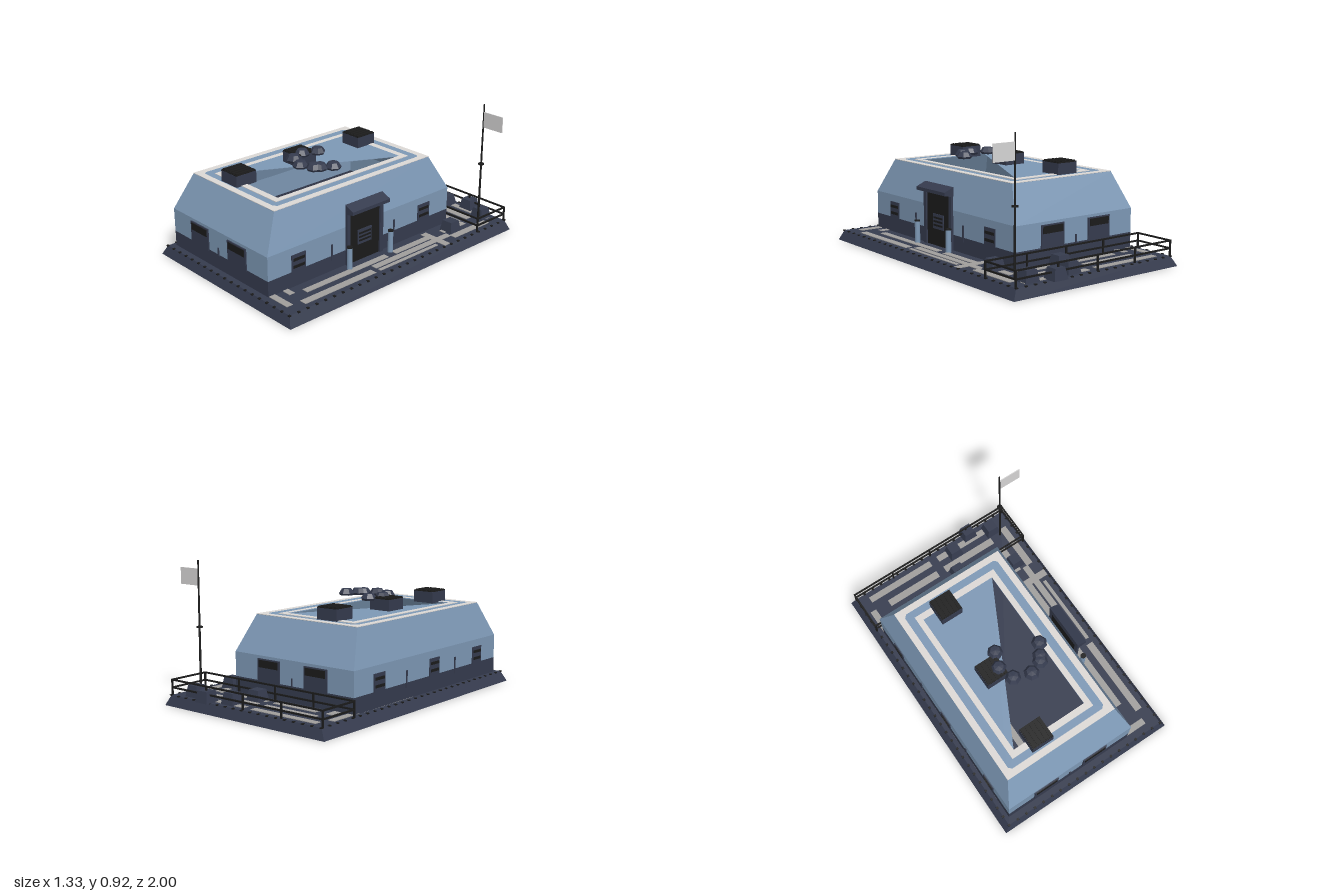
import * as THREE from 'three';

const mat = (name, color, side = THREE.FrontSide) => {
  const m = new THREE.MeshStandardMaterial({ color, side });
  m.name = name;
  return m;
};

export function createModel() {
  const model = new THREE.Group();
  const navy = mat('navy', 0x353b4e);
  const navyShell = mat('navy shell', 0x353b4e, THREE.DoubleSide);
  const blue = mat('steel blue', 0x7d98b5, THREE.DoubleSide);
  const black = mat('black', 0x1b1b1b);
  const cream = mat('pale trim', 0xdcd8d5);
  const grey = mat('floor grey', 0xa09e9c);
  const flagGrey = mat('flag grey', 0xd6d5d5);

  const add = (name, geo, material, parent = model) => {
    const m = new THREE.Mesh(geo, material);
    m.name = name;
    parent.add(m);
    return m;
  };
  // Box given by its limits
  const box = (name, x0, x1, y0, y1, z0, z1, material, parent) =>
    add(name, new THREE.BoxGeometry(x1 - x0, y1 - y0, z1 - z0)
      .translate((x0 + x1) / 2, (y0 + y1) / 2, (z0 + z1) / 2), material, parent);
  // Flat-sided loft through rectangles [x0, x1, z0, z1, y], open below, optionally closed on top
  const loft = (rects, closed) => {
    const p = [];
    const ring = ([x0, x1, z0, z1, y]) => [[x0, y, z1], [x1, y, z1], [x1, y, z0], [x0, y, z0]];
    const quad = (a, b, c, d) => p.push(...a, ...b, ...c, ...a, ...c, ...d);
    for (let i = 0; i < rects.length - 1; i++) {
      const lo = ring(rects[i]), hi = ring(rects[i + 1]);
      for (let k = 0; k < 4; k++) quad(lo[k], lo[(k + 1) % 4], hi[(k + 1) % 4], hi[k]);
    }
    if (closed) quad(...ring(rects[rects.length - 1]));
    const g = new THREE.BufferGeometry();
    g.setAttribute('position', new THREE.Float32BufferAttribute(p, 3));
    g.computeVertexNormals();
    return g;
  };
  // Horizontal plate from an x-z outline with a hole
  const plate = (outline, hole, y, depth) => {
    const pts = (a) => a.map(([x, z]) => new THREE.Vector2(x, -z));
    const s = new THREE.Shape(pts(outline));
    s.holes.push(new THREE.Path(pts(hole)));
    return new THREE.ExtrudeGeometry(s, { depth, bevelEnabled: false }).rotateX(-Math.PI / 2).translate(0, y, 0);
  };
  const rect = (x0, x1, z0, z1, c = 0) => c
    ? [[x0 + c, z0], [x1 - c, z0], [x1, z0 + c], [x1, z1 - c], [x1 - c, z1], [x0 + c, z1], [x0, z1 - c], [x0, z0 + c]]
    : [[x0, z0], [x1, z0], [x1, z1], [x0, z1]];

  // Hollow base with sloping edges and small studs along the rim
  const G = 0.067;
  add('base', loft([[-0.67, 0.65, -0.99, 1, 0], [-0.63, 0.615, -0.965, 0.975, G]], true), navyShell);
  const studs = new THREE.Group();
  studs.name = 'edgeStuds';
  model.add(studs);
  const stud = (x, z) => box('stud', x - 0.008, x + 0.008, G - 0.004, G + 0.003, z - 0.008, z + 0.008, black, studs);
  for (let i = 0; i <= 18; i++) [-0.966, 0.976].forEach((z) => stud(-0.63 + i * 1.245 / 18, z));
  for (let i = 1; i < 28; i++) [-0.631, 0.616].forEach((x) => stud(x, -0.967 + i * 1.944 / 28));

  // Floor markings: x0, x1, z0, z1
  [
    [-0.55, -0.04, -0.925, -0.88], [0.02, 0.52, -0.925, -0.88],
    [-0.45, -0.04, -0.83, -0.78], [0.02, 0.43, -0.83, -0.78],
    [-0.38, -0.04, -0.73, -0.685], [0.02, 0.42, -0.73, -0.685],
    [-0.6, -0.555, -0.82, -0.04], [-0.6, -0.555, 0.03, 0.82],
    [-0.5, -0.455, -0.72, -0.04], [-0.5, -0.455, 0.03, 0.72],
    [0.525, 0.575, -0.85, -0.5], [0.43, 0.475, -0.72, -0.5], [0.39, 0.61, -0.41, -0.36],
    [0.43, 0.475, -0.36, -0.04], [0.49, 0.535, -0.5, 0.2], [0.55, 0.575, -0.33, 0.2],
    [0.43, 0.475, 0.03, 0.72], [0.525, 0.575, 0.24, 0.82],
    [0.36, 0.53, 0.88, 0.925], [0.36, 0.43, 0.78, 0.82],
    [-0.235, -0.04, 0.595, 0.64], [0.02, 0.2, 0.595, 0.64], [-0.28, -0.235, 0.03, 0.64],
  ].forEach(([a, b, c, d]) => box('floorMarking', a, b, G, G + 0.004, c, d, grey));

  // Building shell
  const W = [-0.6, 0.365, -0.64, 0.93];
  add('lowerWall', loft([[...W, G], [...W, 0.17]]), navyShell);
  add('upperWall', loft([[...W, 0.17], [...W, 0.33], [-0.53, 0.29, -0.52, 0.81, 0.562]]), blue);

  // Roof with a triangular opening and pale rings
  const opening = [[0.15, -0.38], [0.15, 0.67], [-0.39, 0.67]];
  add('roof', plate(rect(-0.53, 0.29, -0.52, 0.81), opening, 0.56, 0.003), blue);
  add('outerRoofTrim', plate(rect(-0.53, 0.29, -0.52, 0.81), rect(-0.485, 0.245, -0.475, 0.765, 0.02), 0.563, 0.004), cream);
  add('innerRoofTrim', plate(rect(-0.43, 0.19, -0.425, 0.715), rect(-0.39, 0.15, -0.38, 0.67), 0.563, 0.004), cream);

  // Roof vents with slatted tops
  [-0.36, 0.175, 0.675].forEach((z) => {
    const vent = new THREE.Group();
    vent.name = 'roofVent';
    model.add(vent);
    box('ventBody', -0.303, -0.147, 0.56, 0.637, z - 0.078, z + 0.078, navy, vent);
    box('ventTop', -0.302, -0.148, 0.637, 0.643, z - 0.077, z + 0.077, black, vent);
    for (let i = 0; i < 5; i++) {
      const x = -0.287 + i * 0.031;
      box('ventSlat', x - 0.009, x + 0.009, 0.643, 0.648, z - 0.072, z + 0.072, black, vent);
    }
  });

  // Arc of loose faceted boulders with flat undersides
  const rockProfile = [[0, -0.022], [0.045, -0.022], [0.053, -0.008], [0.034, 0.022], [0, 0.026]]
    .map(([x, y]) => new THREE.Vector2(x, y));
  [[-0.14, 0.09], [-0.18, 0.19], [-0.14, 0.295], [-0.025, 0.335], [0.065, 0.3], [0.085, 0.27], [0.13, 0.195]]
    .forEach(([x, z], i) => {
      const g = new THREE.LatheGeometry(rockProfile, 7).rotateY(i * 1.3).toNonIndexed();
      g.computeVertexNormals();
      add('boulder', g, navy).position.set(x, 0.646, z);
    });

  // Limits of a part standing off a wall at w, facing s
  const off = (w, s, d0, d1) => [Math.min(w + s * d0, w + s * d1), Math.max(w + s * d0, w + s * d1)];

  // Shuttered windows on the front and back
  [[0.93, 1], [-0.64, -1]].forEach(([z, s]) => {
    [-0.31, 0.073].forEach((x) => {
      box('window', x - 0.092, x + 0.092, 0.165, 0.312, ...off(z, s, 0.001, 0.009), navy);
      box('windowPane', x - 0.08, x + 0.08, 0.257, 0.304, ...off(z, s, 0.009, 0.013), black);
    });
    box('wallPipe', -0.124, -0.114, 0.16, 0.22, ...off(z, s, 0.001, 0.007), navy);
  });

  // Small louvred windows and pipes on the sides
  [[0.365, 1, [-0.4, 0.695]], [-0.6, -1, [-0.4, 0.185, 0.695]]].forEach(([w, s, places]) => {
    places.forEach((z) => {
      box('sideWindow', ...off(w, s, 0.001, 0.007), 0.165, 0.282, z - 0.055, z + 0.055, navy);
      [0.203, 0.25].forEach((y) =>
        box('louvre', ...off(w, s, 0.007, 0.011), y - 0.009, y + 0.009, z - 0.044, z + 0.044, black));
    });
    [-0.12, 0.425].forEach((z) =>
      box('wallPipe', ...off(w, s, 0.001, 0.007), 0.14, 0.25, z - 0.006, z + 0.006, navy));
  });

  // Doorway with posts, sloping canopy and vent panel
  const door = new THREE.Group();
  door.name = 'doorway';
  model.add(door);
  [[-0.008, 0.02], [0.28, 0.308]].forEach(([a, b]) => box('doorPost', 0.366, 0.383, G, 0.43, a, b, navy, door));
  box('doorLeaf', 0.366, 0.372, G, 0.43, 0.02, 0.28, black, door);
  box('doorPanel', 0.372, 0.377, 0.18, 0.28, 0.09, 0.21, navy, door);
  [0.205, 0.23, 0.255].forEach((y) => box('doorSlot', 0.377, 0.38, y - 0.006, y + 0.006, 0.1, 0.2, black, door));
  const profile = new THREE.Shape([[0.366, 0.42], [0.385, 0.42], [0.436, 0.43], [0.436, 0.452], [0.366, 0.482]]
    .map(([x, y]) => new THREE.Vector2(x, y)));
  add('canopy', new THREE.ExtrudeGeometry(profile, { depth: 0.322, bevelEnabled: false }).translate(0, 0, -0.012), navy, door);

  // Bollards beside the door
  [-0.035, 0.325].forEach((z) => {
    add('bollard', new THREE.CylinderGeometry(0.018, 0.018, 0.15, 12), blue).position.set(0.424, 0.142, z);
    add('bollardCap', new THREE.CylinderGeometry(0.019, 0.019, 0.008, 12), black).position.set(0.424, 0.218, z);
  });

  // Tapered crates on the rear deck
  [[0.15, -0.885], [0.31, -0.95], [0.468, -0.885], [0.088, -0.73], [0.468, -0.57]].forEach(([x, z]) =>
    add('crate', loft([[x - 0.052, x + 0.052, z - 0.05, z + 0.05, G], [x - 0.038, x + 0.038, z - 0.037, z + 0.037, 0.14]], true), navy));

  // Railing around the rear deck
  const rail = new THREE.Group();
  rail.name = 'railing';
  model.add(rail);
  const r = 0.005, X0 = -0.633, X1 = 0.613, Z0 = -0.958, Z1 = -0.677;
  [0.115, 0.165].forEach((y) => {
    [Z0, Z1].forEach((z) => box('longRail', X0 - r, X1 + r, y - r, y + r, z - r, z + r, black, rail));
    [X0, X1].forEach((x) => box('shortRail', x - r, x + r, y - r, y + r, Z0, Z1, black, rail));
  });
  for (let i = 0; i <= 4; i++) {
    const x = X0 + (X1 - X0) * i / 4;
    [Z0, Z1].forEach((z) => box('railPost', x - r, x + r, G, 0.165, z - r, z + r, black, rail));
  }

  // Flagpole and flag
  add('flagpole', new THREE.CylinderGeometry(0.005, 0.008, 0.85, 8), black).position.set(0.505, 0.492, -0.815);
  add('poleCollar', new THREE.CylinderGeometry(0.02, 0.02, 0.01, 10), black).position.set(0.505, 0.495, -0.815);
  box('flag', 0.509, 0.664, 0.757, 0.864, -0.818, -0.812, flagGrey);

  return model;
}
